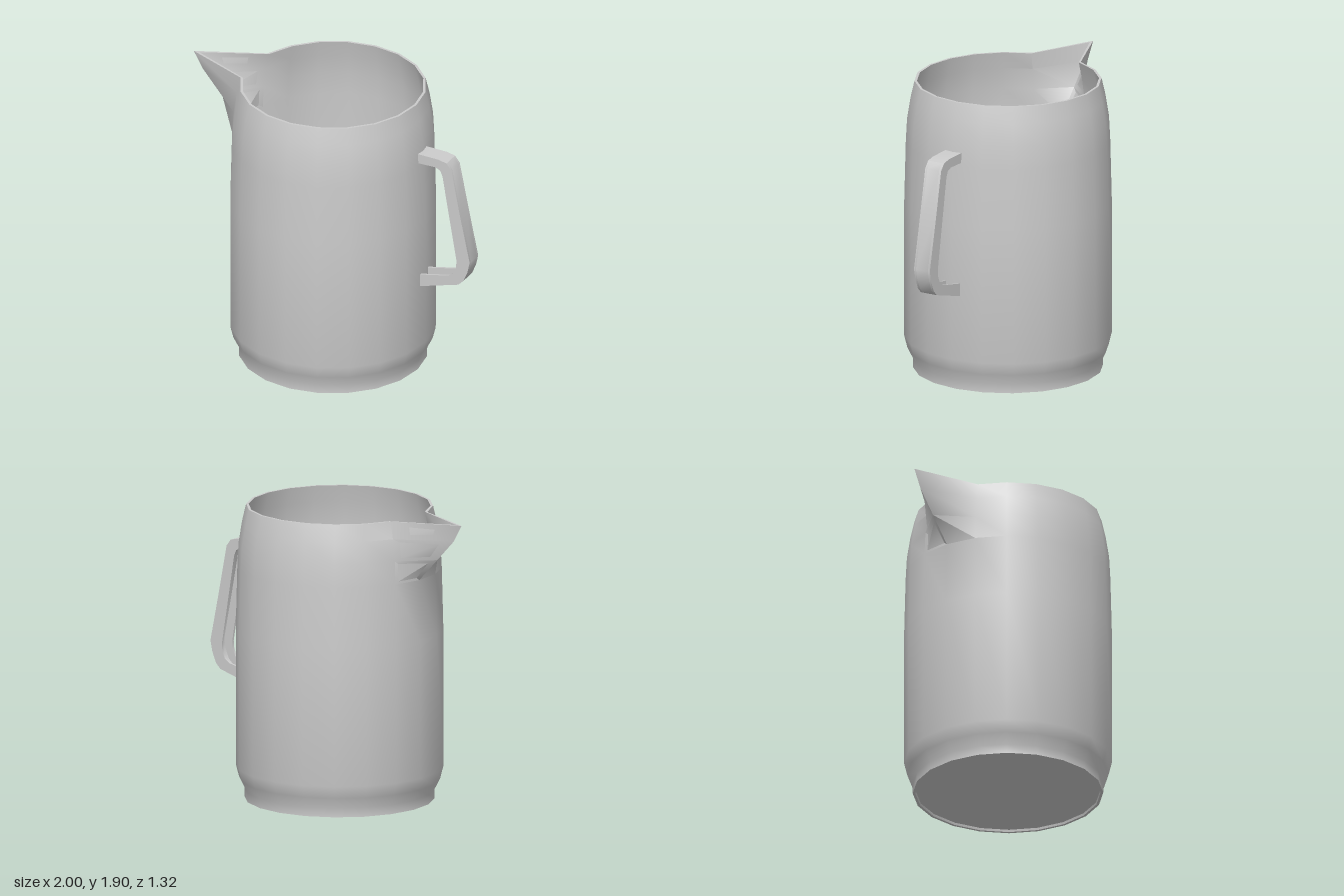
import * as THREE from 'three';
import { toCreasedNormals } from 'three/addons/utils/BufferGeometryUtils.js';

const SIDES = 20;
const CENTRE_X = -0.005;

// How far the front column of the wall is pulled out to form the pouring lip
const lip = [[1.5, 0], [1.65, 0.155], [1.79, 0.312], [1.9, 0.4]];
function lipReach(y) {
  for (let i = 1; i < lip.length; i++) {
    const [y0, d0] = lip[i - 1], [y1, d1] = lip[i];
    if (y >= y0 && y <= y1 + 1e-4) return d0 + (d1 - d0) * (y - y0) / (y1 - y0);
  }
  return 0;
}

// Thin-walled vessel with a recessed base and a spout on the -x side
function makeBody() {
  const outer = [
    [0.605, 0], [0.605, 0.06], [0.64, 0.13], [0.66, 0.21], [0.66, 1.1],
    [0.65, 1.5], [0.642, 1.65], [0.62, 1.79], [0.595, 1.9],
  ];
  const wall = 0.016;
  const inner = outer.slice(1).reverse().map(([r, y]) => [r - wall, y]);
  const profile = [[0, 0.015], [0.585, 0.015], [0.588, 0], ...outer, ...inner, [0, 0.06]];
  const geo = new THREE.LatheGeometry(profile.map(p => new THREE.Vector2(...p)), SIDES);
  const pos = geo.attributes.position;
  const rows = profile.length;
  for (let i = 0; i < pos.count; i++) {
    const x = pos.getX(i), z = pos.getZ(i), row = i % rows;
    if (x < -0.3 && Math.abs(z) < 0.01) {
      const reach = lipReach(pos.getY(i));
      // the inside of the lip is a little shorter, keeping its wall thickness
      const shrink = row >= 3 + outer.length ? 0.94 : 1;
      pos.setX(i, x - reach * shrink);
    }
  }
  geo.translate(CENTRE_X, 0, 0);
  return toCreasedNormals(geo, 0.85);
}

// Handle outline: matching points along the outer and inner edge
const outerEdge = [
  [0.625, 1.585], [0.78, 1.58], [0.835, 1.567], [0.868, 1.525], [0.93, 1.22],
  [1.0, 0.89], [0.985, 0.82], [0.955, 0.75], [0.92, 0.715], [0.64, 0.636],
];
const innerEdge = [
  [0.625, 1.52], [0.755, 1.52], [0.79, 1.505], [0.807, 1.465], [0.852, 1.2],
  [0.907, 0.88], [0.902, 0.83], [0.882, 0.785], [0.845, 0.762], [0.64, 0.72],
];

// Strip reaching a given fraction of the way from outer to inner edge
function handleStrip(fraction, zMin, zMax) {
  const back = outerEdge.map(([x, y], i) => [
    x + (innerEdge[i][0] - x) * fraction,
    y + (innerEdge[i][1] - y) * fraction,
  ]).reverse();
  const shape = new THREE.Shape([...outerEdge, ...back].map(p => new THREE.Vector2(...p)));
  const geo = new THREE.ExtrudeGeometry(shape, { depth: zMax - zMin, bevelEnabled: false });
  geo.translate(0, 0, zMin);
  return toCreasedNormals(geo, 0.6);
}

export function createModel() {
  const group = new THREE.Group();
  group.name = 'jug';
  const material = new THREE.MeshStandardMaterial({ color: 0xcccccc, side: THREE.DoubleSide });
  const add = (parent, geometry, name) => {
    const mesh = new THREE.Mesh(geometry, material);
    mesh.name = name;
    parent.add(mesh);
  };

  add(group, makeBody(), 'body');

  // Handle is a channel: an outer web with a flange on either side
  const handle = new THREE.Group();
  handle.name = 'handle';
  add(handle, handleStrip(0.3, -0.045, 0.045), 'handleWeb');
  add(handle, handleStrip(1, 0.045, 0.06), 'handleFrontFlange');
  add(handle, handleStrip(1, -0.06, -0.045), 'handleBackFlange');
  group.add(handle);

  return group;
}
